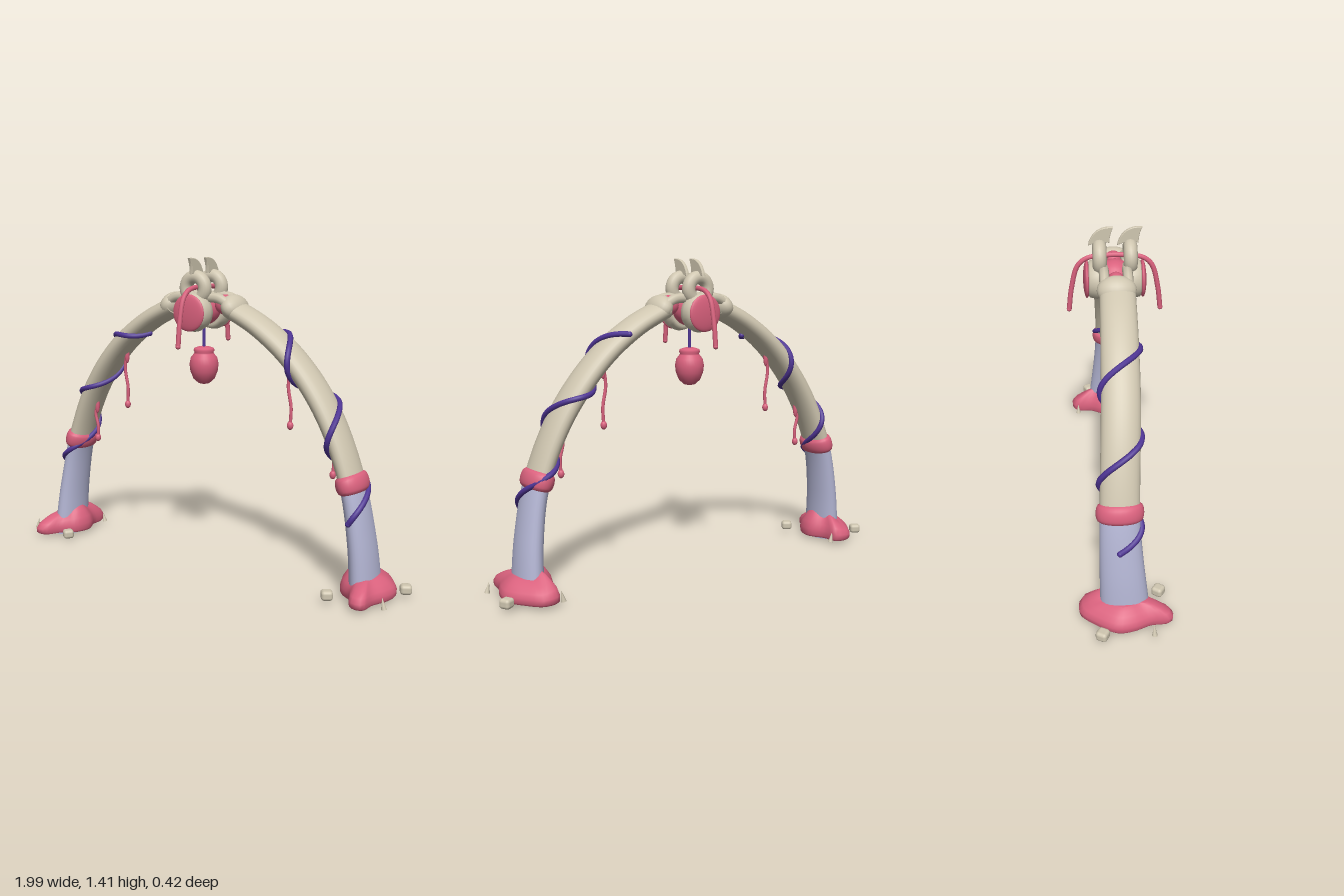
import * as THREE from 'three';
import { RoundedBoxGeometry } from 'three/addons/geometries/RoundedBoxGeometry.js';

const V = (x, y, z = 0) => new THREE.Vector3(x, y, z);
const material = (name, color) => Object.assign(new THREE.MeshStandardMaterial({ color }), { name });

// Skin through rings of points; rings run clockwise seen from the far end
function loft(rings, capStart = false, capEnd = false) {
  const flat = (r) => {
    const c = r.reduce((s, p) => s.add(p), V(0, 0)).divideScalar(r.length);
    return r.map(() => c.clone());
  };
  const rows = [...rings];
  if (capStart) rows.unshift(flat(rings[0]), rings[0]);
  if (capEnd) rows.push(rings.at(-1), flat(rings.at(-1)));
  const n = rows[0].length, index = [];
  for (let i = 0; i < rows.length - 1; i++) {
    if (rows[i] === rows[i + 1]) continue;
    for (let j = 0; j < n; j++) {
      const k = (j + 1) % n, a = i * n + j, b = i * n + k;
      index.push(a, a + n, b, b, a + n, b + n);
    }
  }
  const g = new THREE.BufferGeometry().setFromPoints(rows.flat());
  g.setIndex(index);
  g.computeVertexNormals();
  return g;
}

// Centre line of one leg and its half sizes (across, along z, z shift)
const legPath = new THREE.CatmullRomCurve3([
  V(0.83, 0.005), V(0.81, 0.25), V(0.76, 0.5), V(0.64, 0.77), V(0.47, 0.985), V(0.3, 1.115), V(0.15, 1.19)]);
const legSize = new THREE.CatmullRomCurve3([
  V(0.06, 0.105, 0), V(0.048, 0.082, 0.02), V(0.05, 0.08, 0.004), V(0.045, 0.076, -0.004)]);

function legPoint(side, u, phi, extra = 0) {
  const p = legPath.getPointAt(u), t = legPath.getTangentAt(u), s = legSize.getPoint(u);
  const c = Math.cos(phi) * (s.x + extra), d = Math.sin(phi) * (s.y + extra);
  return V(side * (p.x + t.y * c), p.y - t.x * c, side * (s.z + d));
}
const legRing = (side, u, extra) =>
  Array.from({ length: 28 }, (_, j) => legPoint(side, u, j / 28 * Math.PI * 2, extra));
const legSpan = (side, u0, u1, n) =>
  Array.from({ length: n + 1 }, (_, i) => legRing(side, u0 + (u1 - u0) * i / n, 0));

export function createModel() {
  const root = new THREE.Group();
  root.name = 'archway';
  const bone = material('bone', 0xcfc6b0);
  const flesh = material('flesh pink', 0xd9617d);
  const lilac = material('pale lilac', 0xb3b5d3);
  const purple = material('deep purple', 0x4f3595);

  const add = (name, geometry, mat, x = 0, y = 0, z = 0) => {
    const m = new THREE.Mesh(geometry, mat);
    m.name = name;
    m.position.set(x, y, z);
    root.add(m);
    return m;
  };
  const ball = (name, mat, p, rx, ry = rx, rz = rx) => {
    const m = add(name, new THREE.SphereGeometry(1, 24, 16), mat, p.x, p.y, p.z);
    m.scale.set(rx, ry, rz);
    return m;
  };
  const tube = (name, mat, pts, r, ends = true) => {
    add(name, new THREE.TubeGeometry(new THREE.CatmullRomCurve3(pts), pts.length * 6, r, 8), mat);
    if (ends) for (const p of [pts[0], pts.at(-1)]) ball(name + 'End', mat, p, r);
  };
  const lathe = (pts) => new THREE.LatheGeometry(pts.map(([x, y]) => new THREE.Vector2(x, y)), 32);

  // Foot outline around the ankle, in x and z
  const outline = new THREE.CatmullRomCurve3([
    [0.112, -0.04], [0.105, 0.03], [0.072, 0.11], [0.06, 0.19], [0.01, 0.19], [-0.04, 0.11], [-0.1, 0.06],
    [-0.118, -0.02], [-0.08, -0.1], [-0.07, -0.18], [0, -0.19], [0.06, -0.13]].map(([x, z]) => V(x, 0, z)), true)
    .getSpacedPoints(48).slice(0, 48);
  const footRows = [[0.015, 0.93], [0.025, 0.99], [0.045, 1], [0.065, 0.92], [0.083, 0.76], [0.098, 0.6], [0.106, 0.45]];

  for (const side of [1, -1]) {
    // Legs: lilac shin, pink cuff and bone limb
    add('shin', loft(legSpan(side, 0, 0.35, 12), true), lilac);
    add('limb', loft(legSpan(side, 0.34, 1, 28), true, true), bone);
    const cuff = [];
    for (let k = -5; k <= 5; k++) cuff.push(legRing(side, 0.342 + k * 0.0052, 0.016 * Math.sqrt(1 - (k / 5) ** 2)));
    add('cuff', loft(cuff), flesh);

    // Vine winding up the leg
    const vine = [], [u0, u1, ref, phase, pitch] = side > 0
      ? [0.235, 0.84, 0.24, Math.PI / 2, 0.245] : [0.235, 0.86, 0.3, -Math.PI / 2, 0.25];
    for (let i = 0; i <= 44; i++) {
      const u = u0 + (u1 - u0) * i / 44;
      vine.push(legPoint(side, u, phase - Math.PI * 2 * (u - ref) / pitch, 0.004));
    }
    tube('vine', purple, vine, 0.0125);

    // Spreading foot, raised on its inner side
    const foot = footRows.map(([y, s]) => {
      const ring = outline.map((p) =>
        V(side * (0.838 + p.x * s), y + Math.max(0, -p.x) * Math.max(0, y - 0.03) * 5.5, p.z * s));
      return side > 0 ? ring : ring.reverse();
    });
    add('foot', loft(foot, true, true), flesh);

    // Blunt and pointed claws
    for (const [x, z, turn] of [[0.967, -0.1, 0.5], [0.72, 0.148, 0.6]]) {
      const claw = add('bluntClaw', new RoundedBoxGeometry(0.05, 0.042, 0.05, 3, 0.014), bone, side * x, 0.036, z);
      claw.rotation.y = side * turn;
    }
    for (const [x, z, lean] of [[0.957, 0.112, 0.2], [0.748, -0.162, -0.2]]) {
      const claw = add('pointedClaw', new THREE.ConeGeometry(0.012, 0.05, 10), bone, side * x, 0.04, z);
      claw.rotation.z = side * lean;
    }

    // Hanging drips
    const drips = side > 0
      ? [[0.45, 0.965, 0.7], [0.66, 0.72, 0.512]] : [[-0.445, 0.965, 0.7], [-0.638, 0.7, 0.512]];
    for (const [x, top, low] of drips) {
      const h = top - low;
      tube('drip', flesh, [V(x, top), V(x - 0.012, top - h * 0.35), V(x + 0.003, top - h * 0.7), V(x, low)], 0.0075);
      ball('dripRoot', flesh, V(x, top - 0.02), 0.012, 0.045, 0.012);
      ball('dripBulb', flesh, V(x, low), 0.014, 0.019, 0.014);
    }

    // Shoulder knuckle, fork bars and muscle reaching the hub
    const knuckle = ball('knuckle', bone, V(side * 0.165, 1.193), 0.05, 0.062, 0.084);
    knuckle.rotation.z = side * 0.5;
    for (const z of [-0.05, 0.05])
      tube('forkBar', bone, [V(side * 0.17, 1.205, z), V(side * 0.11, 1.235, z), V(side * 0.02, 1.235, z)], 0.022);
    ball('muscle', flesh, V(side * 0.115, 1.205), 0.05, 0.045, 0.04);

    // Hub wheel with a pink face
    const wheel = lathe([[0, -0.04], [0.066, -0.04], [0.08, -0.03], [0.087, 0], [0.08, 0.03], [0.066, 0.04], [0, 0.04]]);
    add('hubWheel', wheel.rotateX(Math.PI / 2), bone, 0, 1.172, side * 0.078);
    ball('hubFace', flesh, V(0, 1.172, side * 0.121), 0.082, 0.082, 0.016);

    // Crest ring with a curved fin on top
    add('crestRing', new THREE.TorusGeometry(0.05, 0.03, 16, 36), bone, 0, 1.277, side * 0.066);
    const fin = new THREE.Shape();
    fin.moveTo(-0.05, 0.065);
    fin.quadraticCurveTo(0.03, 0.07, 0.051, -0.01);
    fin.quadraticCurveTo(0.01, 0.012, -0.035, 0.0);
    fin.quadraticCurveTo(-0.035, 0.035, -0.05, 0.065);
    const blade = new THREE.ExtrudeGeometry(fin, {
      depth: 0.006, bevelThickness: 0.005, bevelSize: 0.003, bevelSegments: 2, curveSegments: 12 });
    blade.translate(0, 0, -0.003).rotateY(Math.PI / 2);
    add('crestFin', blade, bone, 0, 1.342, side * 0.062 + 0.002);
  }

  // Hub core and the tendril draped across it
  ball('hubCore', flesh, V(0, 1.185), 0.075, 0.075, 0.08);
  tube('tendril', flesh, [V(0, 1.03, 0.2), V(0, 1.13, 0.188), V(0, 1.235, 0.16), V(0, 1.27, 0.12), V(0, 1.282, 0.04),
    V(0, 1.282, -0.04), V(0, 1.27, -0.12), V(0, 1.235, -0.16), V(0, 1.13, -0.188), V(0, 1.03, -0.2)], 0.011);

  // Hanging pod on a cord
  add('podCord', new THREE.CylinderGeometry(0.008, 0.008, 0.14, 10), purple, 0, 1.06, 0);
  add('pod', lathe([[0, 0.84], [0.025, 0.846], [0.048, 0.866], [0.062, 0.9], [0.066, 0.932], [0.06, 0.962], [0.046, 0.98],
    [0.043, 0.986], [0.048, 0.995], [0.044, 1.005], [0.025, 1.012], [0, 1.014]]), flesh);
  return root;
}
